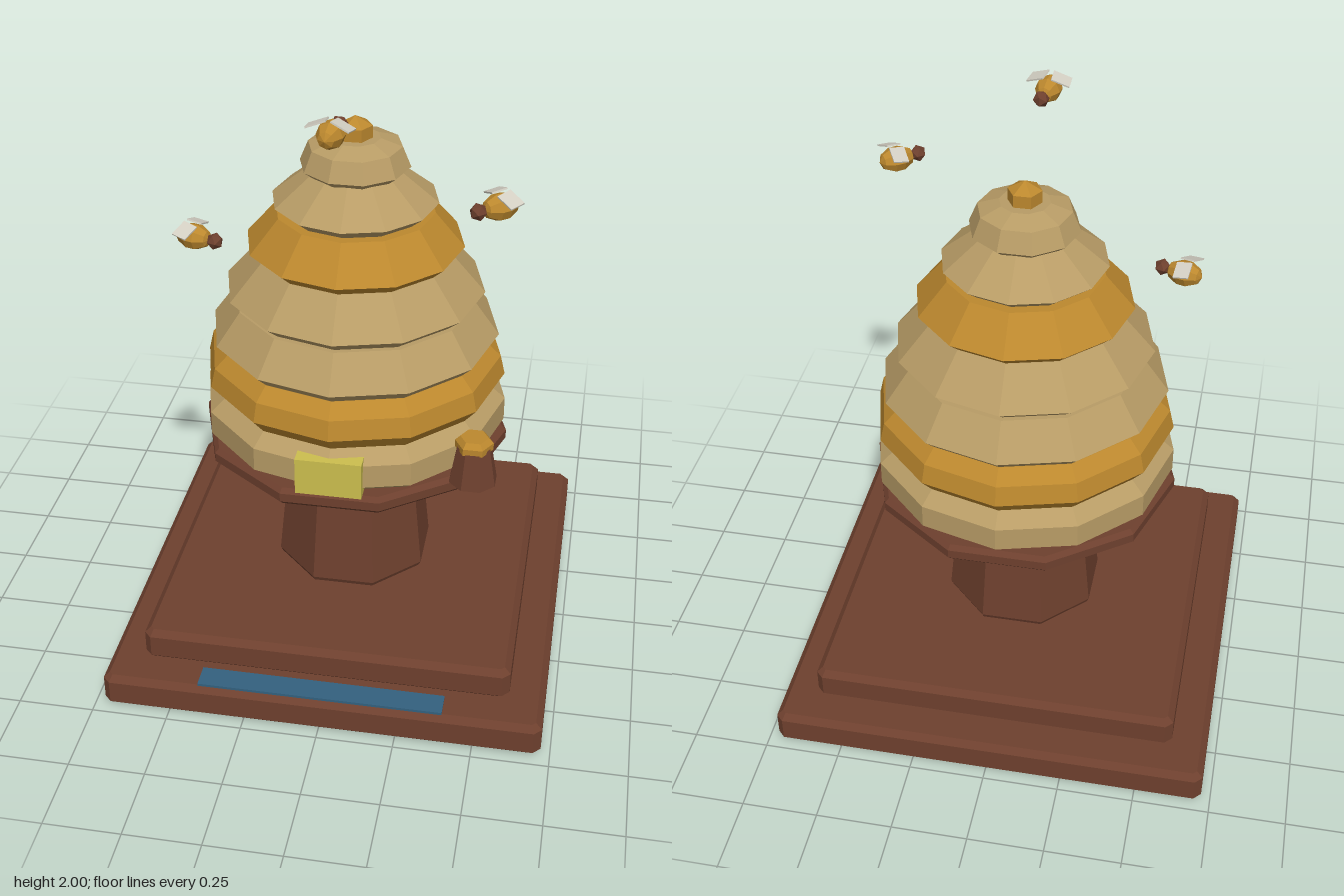
import * as THREE from 'three';

const mat = (name, color) => {
  const m = new THREE.MeshStandardMaterial({ color });
  m.name = name;
  return m;
};

// Unshared corners give every facet its own normal
const faceted = (geo) => {
  const g = geo.index ? geo.toNonIndexed() : geo;
  g.computeVertexNormals();
  return g;
};

function add(parent, name, geo, material, x = 0, y = 0, z = 0) {
  const mesh = new THREE.Mesh(faceted(geo), material);
  mesh.name = name;
  mesh.position.set(x, y, z);
  parent.add(mesh);
  return mesh;
}

// Faceted solid of revolution from [radius, height] pairs, bottom to top
const turned = (profile, sides, start = 0) =>
  new THREE.LatheGeometry(profile.map(([r, y]) => new THREE.Vector2(r, y)), sides, start);

// Square slab with chamfered edges and clipped corners
function slab(half, height, c = 0.02) {
  const h = half - c, k = h - 0.012;
  const shape = new THREE.Shape(
    [[-k, -h], [k, -h], [h, -k], [h, k], [k, h], [-k, h], [-h, k], [-h, -k]]
      .map(([x, y]) => new THREE.Vector2(x, y)));
  return new THREE.ExtrudeGeometry(shape, {
    depth: height - 2 * c, bevelEnabled: true, bevelThickness: c, bevelSize: c, bevelSegments: 1,
  }).rotateX(-Math.PI / 2).translate(0, c, 0);
}

export function createModel() {
  const model = new THREE.Group();
  model.name = 'beehive';
  const wood = mat('brown wood', 0x6e402e);
  const straw = mat('pale straw', 0xb89c66);
  const gold = mat('golden honey', 0xbc882e);
  const yellow = mat('yellow plate', 0xccbe4e);
  const blue = mat('blue strip', 0x33617f);
  const wingMat = mat('pale wing', 0xd2cec2);

  // Stepped base
  add(model, 'lowerBase', slab(0.72, 0.12), wood);
  add(model, 'upperBase', slab(0.605, 0.115), wood, 0, 0.118);
  add(model, 'frontStrip', new THREE.BoxGeometry(0.8, 0.009, 0.08), blue, 0, 0.122, 0.663);

  // Pedestal and platform
  add(model, 'pedestal',
    turned([[0, 0.23], [0.258, 0.23], [0.268, 0.25], [0.222, 0.7], [0.215, 0.72], [0, 0.72]], 8, Math.PI / 8), wood);
  add(model, 'platform',
    turned([[0, 0.715], [0.495, 0.715], [0.51, 0.73], [0.51, 0.76], [0.495, 0.775], [0, 0.775]], 10, Math.PI / 2), wood);

  // Stacked hive rings
  const rings = [
    [straw, 12, [[0.455, 0.77], [0.5, 0.805], [0.5, 0.885], [0.45, 0.928]]],
    [gold, 12, [[0.45, 0.925], [0.495, 0.98], [0.48, 1.045], [0.435, 1.088]]],
    [straw, 12, [[0.43, 1.085], [0.47, 1.125], [0.39, 1.235]]],
    [straw, 12, [[0.37, 1.233], [0.42, 1.275], [0.315, 1.395]]],
    [gold, 12, [[0.31, 1.393], [0.35, 1.43], [0.255, 1.54]]],
    [straw, 12, [[0.22, 1.538], [0.265, 1.575], [0.14, 1.675]]],
    [straw, 10, [[0.148, 1.668], [0.175, 1.69], [0.148, 1.755], [0.08, 1.778]]],
  ];
  rings.forEach(([m, sides, p], i) => {
    const closed = [[0, p[0][1]], ...p, [0, p[p.length - 1][1]]];
    add(model, 'hiveRing' + (i + 1), turned(closed, sides, sides === 10 ? Math.PI / 2 : 0), m);
  });
  add(model, 'finial',
    turned([[0, 1.77], [0.054, 1.77], [0.054, 1.818], [0, 1.848]], 6, Math.PI / 2), gold);
  add(model, 'entrancePlate', new THREE.BoxGeometry(0.21, 0.125, 0.06), yellow, 0, 0.843, 0.47);

  // Honey pot on the platform's edge
  const pot = new THREE.Group();
  pot.name = 'honeyPot';
  pot.position.set(0.433, 0.77, 0.315);
  add(pot, 'potBody', turned([[0, 0], [0.079, 0], [0.056, 0.13], [0, 0.13]], 8, Math.PI / 8), wood);
  add(pot, 'potLid', turned([[0, 0.12], [0.061, 0.12], [0.061, 0.143], [0.045, 0.16], [0, 0.16]], 6, Math.PI / 2), gold);
  model.add(pot);

  // Bees: position and heading
  const bees = [
    [0, 1.952, 0.4, 0.01, -0.07],
    [0.475, 1.715, 0.287, -0.055, 0.045],
    [-0.483, 1.475, 0.16, 0.08, 0.025],
  ];
  bees.forEach(([x, y, z, dx, dz], i) => {
    const bee = new THREE.Group();
    bee.name = 'bee' + (i + 1);
    bee.position.set(x, y, z);
    bee.rotation.y = Math.atan2(dx, dz);
    const body = turned([[0, -0.06], [0.025, -0.048], [0.041, -0.015], [0.041, 0.015], [0.025, 0.048], [0, 0.058]], 8);
    add(bee, 'beeBody', body.rotateX(Math.PI / 2), gold);
    add(bee, 'beeHead', new THREE.IcosahedronGeometry(0.027, 0), wood, 0, 0, 0.076);
    for (const s of [-1, 1]) {
      const wing = add(bee, 'beeWing', new THREE.BoxGeometry(0.062, 0.005, 0.05), wingMat, s * 0.039, 0.034, -0.008);
      wing.rotation.set(0.15, s * 0.12, -s * 0.38);
    }
    model.add(bee);
  });

  return model;
}
